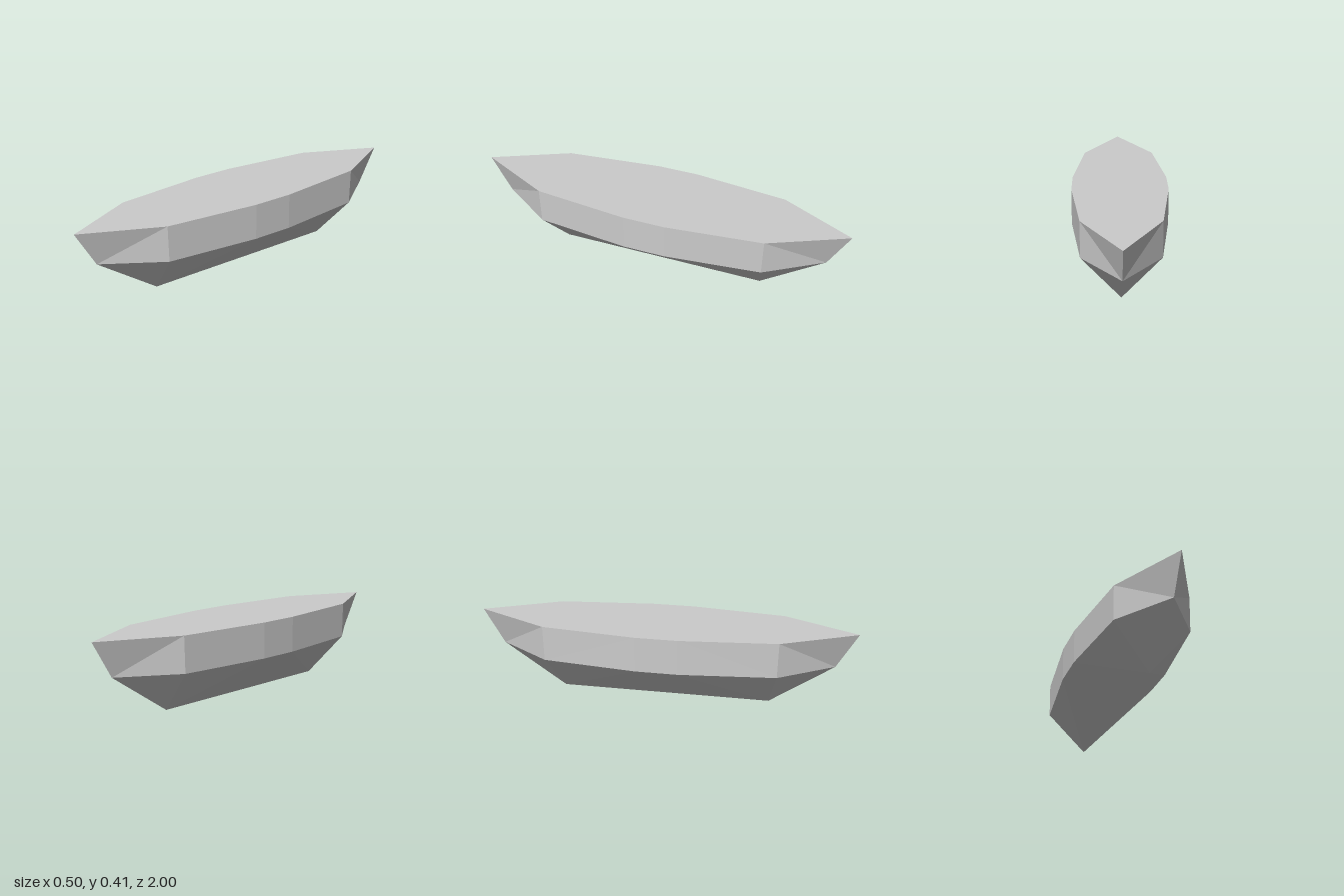
import * as THREE from 'three';

// Stations from midship to bow: rail, chine and keel points of one quarter
const RAIL = [[0.25, 0.41, 0], [0.25, 0.41, 0.11], [0.195, 0.41, 0.61], [0, 0.41, 1]];
const CHINE = [[0.25, 0.225, 0], [0.25, 0.225, 0.11], [0.195, 0.225, 0.605], [0, 0.225, 0.89]];
const KEEL = [[0, 0, 0], [0, 0, 0.555]];
const CENTRE = [0, 0.41, 0];

// Mirrors a quarter's triangles across x and z, flipping winding where needed
function mirrored(triangles) {
  const positions = [];
  for (const sx of [1, -1]) {
    for (const sz of [1, -1]) {
      for (const [a, b, c] of triangles) {
        const corners = sx * sz > 0 ? [a, b, c] : [a, c, b];
        for (const [x, y, z] of corners) positions.push(x * sx, y, z * sz);
      }
    }
  }
  const geometry = new THREE.BufferGeometry();
  geometry.setAttribute('position', new THREE.Float32BufferAttribute(positions, 3));
  geometry.computeVertexNormals();
  return geometry;
}

export function createModel() {
  const group = new THREE.Group();
  group.name = 'boatHull';
  const material = new THREE.MeshStandardMaterial({ color: 0xcccccc, flatShading: true });

  const sides = [];
  const bottom = [[CHINE[0], KEEL[1], KEEL[0]]];
  const deck = [];
  for (let i = 0; i < RAIL.length - 1; i++) {
    // Upper planking, split from rail to the forward chine point
    sides.push([RAIL[i + 1], CHINE[i + 1], RAIL[i]], [RAIL[i], CHINE[i + 1], CHINE[i]]);
    // Bottom facets fan out from the keel end
    bottom.push([CHINE[i + 1], KEEL[1], CHINE[i]]);
    // Flat deck fans out from the centre
    deck.push([CENTRE, RAIL[i + 1], RAIL[i]]);
  }

  for (const [name, triangles] of Object.entries({ sides, bottom, deck })) {
    const mesh = new THREE.Mesh(mirrored(triangles), material);
    mesh.name = name;
    group.add(mesh);
  }
  return group;
}
